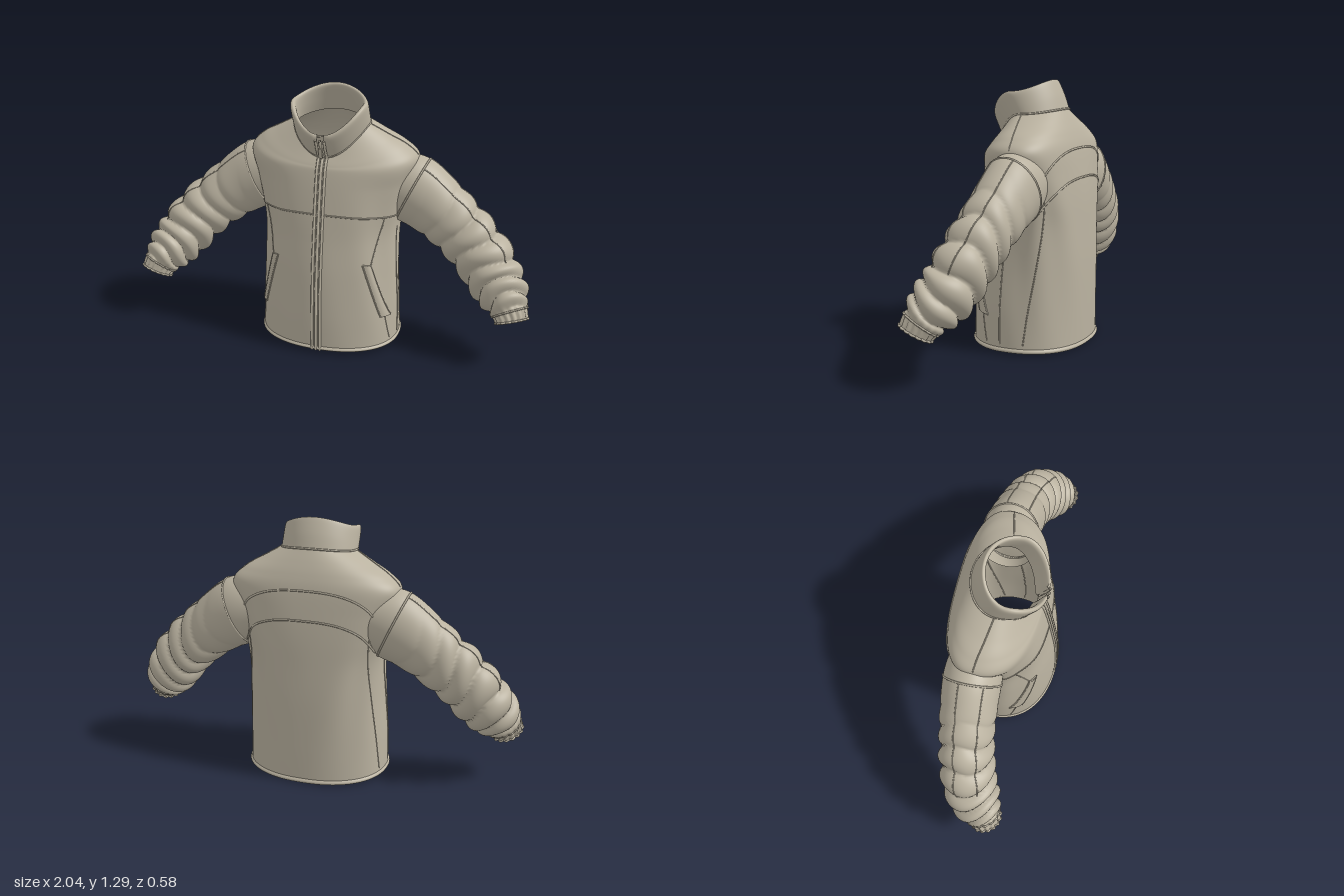
import * as THREE from 'three';

const fabric = new THREE.MeshStandardMaterial({ color: 0xbab2a0, side: THREE.DoubleSide });
fabric.name = 'beige fleece';

// Catmull-Rom sampling of a table of rows at fractional row v
function sample(table, v) {
  const n = table.length - 1;
  const i = Math.max(0, Math.min(n - 1, Math.floor(v)));
  const t = v - i;
  const [p, q, r, s] = [-1, 0, 1, 2].map(k => table[Math.max(0, Math.min(n, i + k))]);
  return q.map((b, k) => {
    const m0 = (r[k] - p[k]) / 2, m1 = (s[k] - b) / 2, d = r[k] - b;
    return b + t * (m0 + t * (3 * d - 2 * m0 - m1 + t * (m0 + m1 - 2 * d)));
  });
}

// Smooth surface from fn(u, v), both 0..1, optionally closed around u
function surface(name, fn, nu, nv, closed = false) {
  const pos = [], index = [], cols = closed ? nu : nu + 1;
  for (let j = 0; j <= nv; j++)
    for (let i = 0; i < cols; i++) pos.push(...fn(i / nu, j / nv).toArray());
  for (let j = 0; j < nv; j++)
    for (let i = 0; i < nu; i++) {
      const a = j * cols + i, b = j * cols + (i + 1) % cols;
      index.push(a, b, b + cols, a, b + cols, a + cols);
    }
  const geo = new THREE.BufferGeometry();
  geo.setAttribute('position', new THREE.Float32BufferAttribute(pos, 3));
  geo.setIndex(index);
  geo.computeVertexNormals();
  const mesh = new THREE.Mesh(geo, fabric);
  mesh.name = name;
  return mesh;
}

function seam(name, points, radius = 0.004, closed = false) {
  const curve = new THREE.CatmullRomCurve3(points, closed);
  const mesh = new THREE.Mesh(new THREE.TubeGeometry(curve, points.length * 3, radius, 6, closed), fabric);
  mesh.name = name;
  return mesh;
}

const steps = (n, fn) => Array.from({ length: n + 1 }, (_, i) => fn(i / n));
const mix = THREE.MathUtils.lerp;
const spow = (x, p) => Math.sign(x) * Math.abs(x) ** p;

// Ring round the torso: angle 0 = front, PI/2 = left side
function ring([yF, yS, yB, w, zF, zS, zB, nF, nB], a, off = 0) {
  const s = Math.sin(a), c = Math.cos(a), front = c > 0, e = 2 / (front ? nF : nB);
  return new THREE.Vector3(
    (w + off) * spow(s, e),
    yS + ((front ? yF : yB) - yS) * c * c,
    zS + (front ? zF - zS + off : zS - zB + off) * spow(c, e));
}

// yFront, ySide, yBack, halfWidth, zFront, zSide, zBack, squareness front/back
const BODY = [
  [0.02, 0.012, 0.002, 0.355, 0.280, 0.00, -0.282, 2.2, 2.3],
  [0.20, 0.20, 0.20, 0.350, 0.276, 0.00, -0.283, 2.2, 2.3],
  [0.42, 0.42, 0.42, 0.337, 0.262, -0.01, -0.282, 2.2, 2.4],
  [0.60, 0.60, 0.60, 0.335, 0.240, -0.03, -0.275, 2.2, 2.5],
  [0.73, 0.73, 0.73, 0.355, 0.222, -0.05, -0.267, 2.3, 2.6],
  [0.85, 0.85, 0.85, 0.388, 0.202, -0.06, -0.254, 2.3, 2.6],
  [0.935, 0.965, 0.97, 0.420, 0.184, -0.06, -0.236, 2.3, 2.6],
  [0.960, 1.03, 1.04, 0.365, 0.174, -0.05, -0.215, 2.2, 2.4],
  [0.980, 1.08, 1.10, 0.280, 0.163, -0.03, -0.187, 2.1, 2.2],
  [1.000, 1.135, 1.155, 0.183, 0.150, -0.01, -0.155, 2, 2],
];
const TOP = BODY.length - 1;

function bodyPoint(a, v, off = 0) {
  const p = ring(sample(BODY, v), a, off);
  // soft vertical drape folds, fading at hem and shoulders
  const fade = Math.sin(Math.PI * Math.min(1, v / 6)) * (0.5 - 0.5 * Math.cos(a * 2) + 0.5);
  const k = 1 + 0.012 * fade * Math.sin(9 * Math.abs(a > Math.PI ? a - 2 * Math.PI : a) + v * 0.9);
  p.x *= k; p.z *= k;
  return p;
}

// Row position whose side height is y
function rowAt(y) {
  let lo = 0, hi = TOP;
  for (let i = 0; i < 30; i++) {
    const m = (lo + hi) / 2;
    if (sample(BODY, m)[1] < y) lo = m; else hi = m;
  }
  return lo;
}

// Point on the front panel at x, y
function frontPoint(x, y, off = 0) {
  const v = rowAt(y), r = sample(BODY, v);
  const a = Math.asin(Math.min(1, (Math.abs(x) / r[3]) ** (r[7] / 2)));
  return bodyPoint(a * Math.sign(x), v, off);
}

// Sleeve sections: x, y, z, radius in the arm plane, radius across
const SLEEVE = [
  [0.28, 0.83, -0.07, 0.145, 0.13], [0.39, 0.80, -0.07, 0.175, 0.14],
  [0.52, 0.72, -0.06, 0.155, 0.135], [0.63, 0.635, -0.045, 0.143, 0.128],
  [0.735, 0.54, -0.02, 0.138, 0.128], [0.82, 0.43, 0.015, 0.134, 0.125],
  [0.88, 0.355, 0.06, 0.118, 0.115], [0.92, 0.29, 0.10, 0.086, 0.086],
  [0.935, 0.252, 0.118, 0.076, 0.076],
];

function sleevePoint(t, a, off = 0) {
  const v = t * (SLEEVE.length - 1), row = sample(SLEEVE, v);
  const p0 = sample(SLEEVE, Math.max(0, v - 0.3)), p1 = sample(SLEEVE, Math.min(8, v + 0.3));
  const T = new THREE.Vector3(p1[0] - p0[0], p1[1] - p0[1], p1[2] - p0[2]).normalize();
  const N = new THREE.Vector3(0, 0, 1).cross(T).normalize();
  const B = T.clone().cross(N);
  // puffy diagonal folds toward the wrist, gathers in the cuff
  const ramp = THREE.MathUtils.smoothstep(t, 0.15, 0.5) * (1 - THREE.MathUtils.smoothstep(t, 0.8, 0.9));
  const phase = 10 * Math.PI * t + 0.9 * Math.sin(a + 0.6) + 0.7 * Math.sin(2 * a + 7 * t);
  const puff = 0.032 * ramp * (Math.abs(Math.sin(phase)) ** 0.7 - 0.62);
  const gather = 0.005 * THREE.MathUtils.smoothstep(t, 0.82, 0.92) * Math.cos(16 * a);
  const d = puff + gather + off;
  return new THREE.Vector3(row[0], row[1], row[2])
    .addScaledVector(N, (row[3] + d) * Math.cos(a))
    .addScaledVector(B, (row[4] + d) * Math.sin(a));
}

// Sleeve, pocket and side seams of the left half
function buildSide(name) {
  const g = new THREE.Group();
  g.name = name;
  const TAU = Math.PI * 2;
  g.add(surface('sleeve', (u, v) => sleevePoint(v, u * TAU), 80, 130, true));
  g.add(seam('armholeSeam', steps(32, u => sleevePoint(0.13, u * TAU)).slice(0, -1), 0.005, true));
  g.add(seam('cuffSeam', steps(64, u => sleevePoint(0.88, u * TAU)).slice(0, -1), 0.005, true));
  g.add(seam('cuffEdge', steps(64, u => sleevePoint(1, u * TAU)).slice(0, -1), 0.006, true));
  for (const a of [0.55, -0.3])
    g.add(seam('sleeveSeam', steps(30, t => sleevePoint(mix(0.13, 0.6, t), a)), 0.003));

  // slanted pocket welt
  const welt = (u, v, off) => frontPoint(
    mix(mix(0.298, 0.212, v), mix(0.335, 0.25, v), u), mix(0.19, 0.485, v) - 0.01 * u, off);
  g.add(surface('pocketWelt', (u, v) => welt(u, v, 0.003 + 0.006 * Math.sin(Math.PI * u)), 6, 16));
  for (const u of [0, 1]) g.add(seam('pocketEdge', steps(14, v => welt(u, v, 0.002)), 0.004));
  g.add(seam('pocketTop', steps(4, u => welt(u, 1, 0.002))));
  g.add(seam('pocketBottom', steps(4, u => welt(u, 0, 0.002))));

  // panel seams
  g.add(seam('frontPanelSeam', steps(8, t => frontPoint(mix(0.25, 0.30, t), mix(0.48, 0.71, t))), 0.003));
  g.add(seam('lowerPanelSeam', steps(5, t => frontPoint(mix(0.335, 0.318, t), mix(0.05, 0.18, t))), 0.003));
  g.add(seam('sideSeam', steps(14, t => bodyPoint(1.5, rowAt(mix(0.05, 0.62, t)))), 0.003));
  g.add(seam('backPanelSeam', steps(18, t => bodyPoint(mix(1.85, 2.2, t), rowAt(mix(0.05, 0.8, t)))), 0.003));
  g.add(seam('shoulderSeam', steps(10, t => bodyPoint(Math.PI / 2, mix(6.2, TOP, t))), 0.003));
  return g;
}

export function createModel() {
  const model = new THREE.Group();
  model.name = 'jacket';
  const TAU = Math.PI * 2;

  // torso and hem band
  model.add(surface('body', (u, v) => bodyPoint(u * TAU, v * TOP), 112, 90, true));
  model.add(surface('hemBand', (u, v) =>
    bodyPoint(u * TAU, 0.18 * v, 0.008 * Math.sin(Math.PI * v)), 96, 8, true));

  // front yoke seam and the two arched back yoke seams
  model.add(seam('frontYokeSeam', steps(40, t => {
    const a = mix(-1.35, 1.35, t);
    return bodyPoint(a, rowAt(0.73 - 0.03 * Math.sin(a) ** 2));
  })));
  for (const [mid, drop, spread] of [[0.965, 0.17, 1.15], [0.83, 0.15, 1.15]])
    model.add(seam('backYokeSeam', steps(40, t => {
      const k = 2 * t - 1;
      return bodyPoint(Math.PI + spread * k, rowAt(mid - drop * k * k));
    }), 0.005));

  // stand collar: outer bottom, outer top, rolled rim, inner bottom
  const COLLAR = [
    [0.99, 1.125, 1.150, 0.188, 0.152, -0.01, -0.160, 2, 2],
    [1.05, 1.180, 1.220, 0.188, 0.182, 0.02, -0.138, 2, 2],
    [1.10, 1.230, 1.282, 0.186, 0.202, 0.045, -0.110, 2, 2],
    [1.12, 1.243, 1.295, 0.174, 0.195, 0.045, -0.098, 2, 2],
    [1.10, 1.230, 1.280, 0.162, 0.178, 0.04, -0.088, 2, 2],
    [1.04, 1.180, 1.215, 0.162, 0.155, 0.02, -0.112, 2, 2],
    [0.99, 1.125, 1.150, 0.168, 0.130, -0.01, -0.138, 2, 2],
  ];
  model.add(surface('collar', (u, v) => {
    const a = mix(0.09, TAU - 0.09, u);
    const p = ring(sample(COLLAR, v * 6), a);
    // pinch the two front ends closed
    const pinch = 1 - Math.min(1, Math.min(u, 1 - u) / 0.02) ** 0.5;
    return p.lerp(ring(sample(COLLAR, 6 * (v < 0.5 ? v : 1 - v)), a, -0.01), pinch);
  }, 100, 36));
  model.add(seam('collarSeam', steps(48, t => ring(BODY[TOP], t * TAU, 0.004)).slice(0, -1), 0.005, true));

  // zip with piping on both sides
  const zipLine = x => [...steps(24, t => bodyPoint(0, t * (TOP - 0.3), 0.002)),
    new THREE.Vector3(0, 1.05, 0.182), new THREE.Vector3(0, 1.095, 0.2)]
    .map(p => p.setX(x));
  model.add(seam('zipTeeth', zipLine(0), 0.008));
  for (const x of [-0.02, 0.02]) model.add(seam('zipPiping', zipLine(x), 0.007));
  const pull = new THREE.Mesh(new THREE.BoxGeometry(0.018, 0.05, 0.01), fabric);
  pull.name = 'zipPull';
  pull.position.set(0, 1.03, 0.186);
  pull.rotation.x = 0.2;
  model.add(pull);

  // both sides
  const right = buildSide('rightSide');
  right.scale.x = -1;
  model.add(buildSide('leftSide'), right);
  return model;
}
